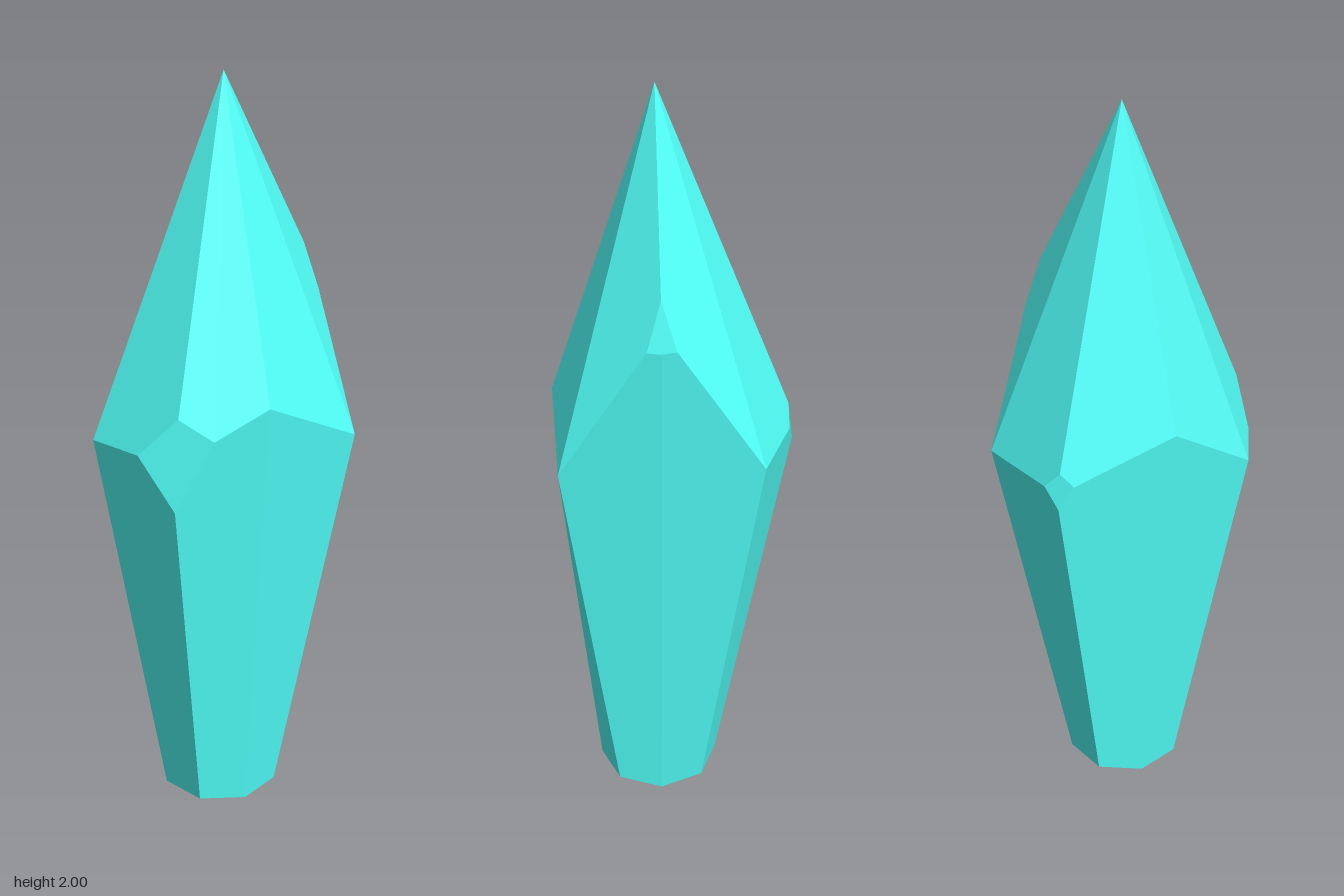
import * as THREE from 'three';

const CX = 0.05, CZ = 0.045; // crystal axis

// Shoulder corners, going round from +x towards +z. A plain corner is one point;
// a chipped corner has top, next-side, bottom and previous-side points.
const chip = (top, next, bottom, prev) => ({ top, next, bottom, prev });
const corner = (...p) => chip(p, p, p, p);
const shoulder = [
  chip([0.287, 1.55, CZ], [0.315, 1.43, 0.081], [0.315, 1.425, CZ], [0.315, 1.43, 0.008]),
  corner(0.306, 1.1, 0.302),
  corner(CX, 1.215, 0.314),
  chip([-0.18, 1.21, 0.27], [-0.255, 1.1, 0.19], [-0.202, 0.975, 0.295], [-0.1, 1.15, 0.307]),
  corner(-0.315, 1.1, CZ),
  corner(-0.155, 1.185, -0.058),
  chip([CX, 1.15, -0.302], [0.097, 1.1, -0.3], [CX, 1.05, -0.315], [0.02, 1.11, -0.285]),
  corner(0.306, 1.1, -0.214),
];

const vec = (p) => new THREE.Vector3(...p);
const distance = (a, b) => vec(a).distanceTo(vec(b));

// Fans each polygon from its first point and gives it one averaged normal,
// so slightly twisted facets still read as single flat planes
function facets(polygons) {
  const pos = [], nor = [];
  for (const poly of polygons) {
    const p = poly.filter((v, i) => v !== poly[(i + 1) % poly.length]);
    const normal = new THREE.Vector3();
    p.forEach((v, i) => normal.add(vec(v).cross(vec(p[(i + 1) % p.length]))));
    normal.normalize();
    for (let i = 1; i < p.length - 1; i++) {
      pos.push(...p[0], ...p[i], ...p[i + 1]);
      for (let k = 0; k < 3; k++) nor.push(normal.x, normal.y, normal.z);
    }
  }
  const g = new THREE.BufferGeometry();
  g.setAttribute('position', new THREE.Float32BufferAttribute(pos, 3));
  g.setAttribute('normal', new THREE.Float32BufferAttribute(nor, 3));
  return g;
}

export function createModel() {
  const group = new THREE.Group();
  group.name = 'crystal';
  const material = new THREE.MeshStandardMaterial({ color: 0x50fef8 });

  const apex = [CX, 2, CZ];
  const foot = shoulder.map((_, i) => {
    const a = (i * Math.PI) / 4;
    return [CX + 0.168 * Math.cos(a), 0, CZ + 0.168 * Math.sin(a)];
  });

  const tip = [], shaft = [], chips = [];
  shoulder.forEach((s, i) => {
    const j = (i + 1) % shoulder.length, n = shoulder[j];
    tip.push([apex, n.top, n.prev, s.next, s.top]);
    // Shaft facets split along their shorter diagonal
    const side = [s.bottom, s.next, n.prev, n.bottom];
    shaft.push(distance(foot[i], n.prev) < distance(foot[j], s.next)
      ? [foot[i], ...side, foot[j]]
      : [foot[j], foot[i], ...side]);
    if (s.top !== s.bottom) chips.push([s.top, s.next, s.bottom, s.prev]);
  });

  const parts = { tip, shaft, chippedCorners: chips, base: [foot] };
  for (const [name, polygons] of Object.entries(parts)) {
    const mesh = new THREE.Mesh(facets(polygons), material);
    mesh.name = name;
    group.add(mesh);
  }
  return group;
}
